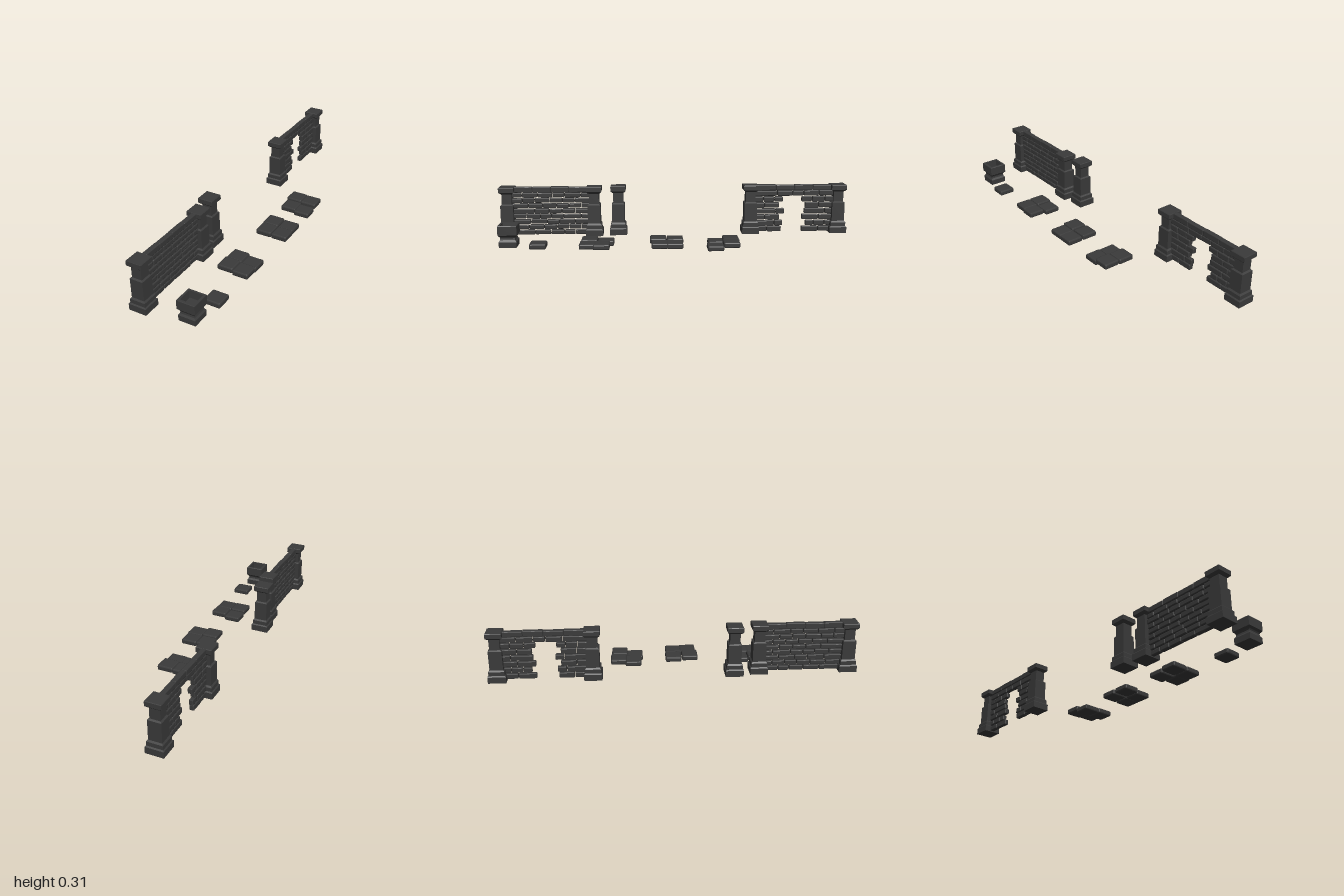
import * as THREE from 'three';
import { RoundedBoxGeometry } from 'three/addons/geometries/RoundedBoxGeometry.js';

const stone = new THREE.MeshStandardMaterial({ color: 0x3a3a3a, flatShading: true });

// Small seeded generator for the irregular masonry
let seed = 11;
const rand = (a, b) => {
  seed = (seed * 16807) % 2147483647;
  return a + (b - a) * (seed / 2147483647);
};

function add(parent, name, geometry, x = 0, y = 0, z = 0) {
  const mesh = new THREE.Mesh(geometry, stone);
  mesh.name = name;
  mesh.position.set(x, y, z);
  parent.add(mesh);
  return mesh;
}

// Chamfered block given by its limits
function block(parent, name, [x0, x1], [y0, y1], [z0, z1], bevel = 0.004) {
  const geometry = new RoundedBoxGeometry(x1 - x0, y1 - y0, z1 - z0, 1, bevel);
  return add(parent, name, geometry, (x0 + x1) / 2, (y0 + y1) / 2, (z0 + z1) / 2);
}

// Square solid from a profile of [half width, height]
function squareTurned(profile) {
  const points = profile.map(([half, y]) => new THREE.Vector2(half * Math.SQRT2, y));
  return new THREE.LatheGeometry(points, 4).rotateY(Math.PI / 4);
}

// Stepped pillar: plinth, lower shaft, upper shaft, flared cap
const pillarGeometry = squareTurned([
  [0, 0.025], [0.049, 0.025], [0.049, 0.06], [0.043, 0.066], [0.043, 0.088],
  [0.036, 0.096], [0.036, 0.203], [0.028, 0.209], [0.028, 0.268],
  [0.034, 0.271], [0.043, 0.28], [0.043, 0.304], [0.041, 0.307], [0, 0.307],
]);

// One course of uneven bricks between two z limits
function course(parent, x, y0, y1, z0, z1, offset) {
  let z = z0;
  let length = offset;
  while (z < z1 - 0.001) {
    let end = z + length;
    if (z1 - end < 0.035) end = z1;
    const half = 0.012 + rand(-0.001, 0.0015);
    block(parent, 'brick', [x - half, x + half],
      [y0 + rand(0, 0.002), y1 - rand(0, 0.002)], [z + 0.0015, end - 0.0015]);
    z = end;
    length = rand(0.06, 0.1);
  }
}

// Wall between two pillars; gapAt returns the opening in a row, or null
function wall(parent, name, x, zBack, zFront, rows, gapAt) {
  const group = new THREE.Group();
  group.name = name;
  parent.add(group);
  for (const z of [zBack, zFront]) add(group, 'pillar', pillarGeometry, x, 0, z);

  // Coping beam
  const start = zBack + 0.04, end = zFront - 0.04;
  const step = (end - start) / 4;
  for (let i = 0; i < 4; i++) {
    block(group, 'copingStone', [x - 0.014, x + 0.014], [0.274, 0.305 + (i % 2) * 0.002],
      [start + i * step, start + (i + 1) * step]);
  }

  // Brick courses
  const z0 = zBack + 0.025, z1 = zFront - 0.025;
  const pitch = (0.274 - 0.028) / rows;
  for (let r = 0; r < rows; r++) {
    const y0 = 0.028 + r * pitch + 0.0015, y1 = y0 + pitch - 0.003;
    const offset = r % 2 ? 0.05 : 0.085;
    const gap = gapAt(r);
    if (gap) {
      course(group, x, y0, y1, z0, gap[0], offset);
      course(group, x, y0, y1, gap[1], z1, offset);
    } else {
      course(group, x, y0, y1, z0, z1, offset);
    }
  }
}

export function createModel() {
  const model = new THREE.Group();
  model.name = 'stoneRuins';

  // Solid wall, wall with a ragged doorway, and a lone pillar
  wall(model, 'solidWall', -0.135, 0.459, 0.951, 8, () => null);
  const doorway = [
    [-0.742, -0.625], [-0.765, -0.632], [-0.742, -0.612],
    [-0.755, -0.64], [-0.76, -0.61], [-0.74, -0.632],
  ];
  wall(model, 'doorwayWall', -0.156, -0.951, -0.441, 7, (r) => doorway[r] || null);
  add(model, 'lonePillar', pillarGeometry, -0.156, 0, 0.322);

  // Paving slabs: left x, back z, bottom y
  const slabs = [
    [0.005, -0.35, 0.018], [0.097, -0.345, 0.018], [0.008, -0.268, 0.004], [0.095, -0.258, 0],
    [0.014, -0.04, 0.022], [0.108, -0.036, 0.018], [0.02, 0.053, 0.026], [0.11, 0.046, 0.02],
    [0.005, 0.34, 0.012], [0.1, 0.36, 0.014], [0.004, 0.43, 0.02], [0.095, 0.435, 0.016],
    [0.097, 0.7, 0.02],
  ];
  for (const [x, z, y] of slabs) {
    block(model, 'pavingSlab', [x, x + 0.091], [y, y + 0.03], [z, z + 0.089], 0.007);
  }

  // Hollow square planter on a waisted foot
  add(model, 'planter', squareTurned([
    [0, 0.025], [0.047, 0.025], [0.048, 0.056], [0.041, 0.066], [0.039, 0.076],
    [0.042, 0.083], [0.051, 0.093], [0.051, 0.142], [0.049, 0.145],
    [0.038, 0.145], [0.036, 0.105], [0, 0.105],
  ]), 0.112, 0, 0.905);

  // Thin rail standing off the solid wall
  add(model, 'rail', new THREE.BoxGeometry(0.003, 0.003, 0.066), -0.072, 0.219, 0.662);

  return model;
}
